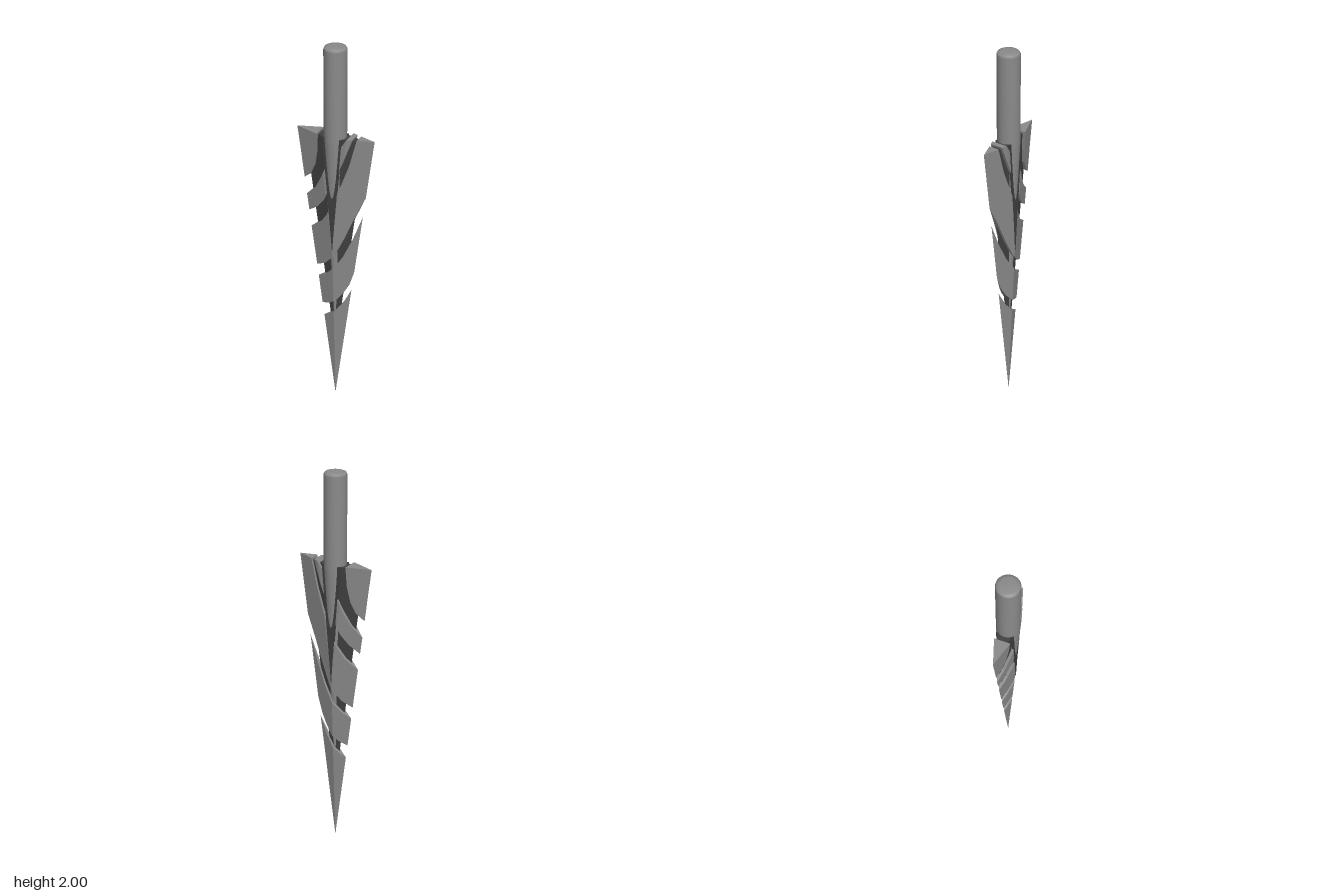
import * as THREE from 'three';

const steel = new THREE.MeshStandardMaterial({ color: 0x8a8a8a });
const facetedSteel = steel;
const darkSteel = new THREE.MeshStandardMaterial({ color: 0x404040 });

// Point at t (0..1) on a polyline of [x, y] pairs
function along(points, t) {
  const f = t * (points.length - 1);
  const i = Math.min(Math.floor(f), points.length - 2);
  const k = f - i;
  return [0, 1].map((a) => points[i][a] * (1 - k) + points[i + 1][a] * k);
}

// Solid between two edges in the xy plane, thinning to a sharp edge at half width w(y)
function bladeSolid(lower, upper, w, slope, cap, nt = 48, ns = 12) {
  const rings = [];
  for (let i = 0; i <= nt; i++) {
    const a = along(lower, i / nt), b = along(upper, i / nt);
    const front = [], back = [];
    for (let j = 0; j <= ns; j++) {
      const s = j / ns;
      const x = a[0] * (1 - s) + b[0] * s, y = a[1] * (1 - s) + b[1] * s;
      const z = Math.max(0.0005, Math.min(cap, slope * (w(y) - Math.abs(x))));
      front.push([x, y, z]);
      back.unshift([x, y, -z]);
    }
    rings.push([...front, ...back]);
  }
  const pos = [];
  const tri = (...p) => p.forEach((v) => pos.push(...v));
  const m = rings[0].length;
  for (let i = 0; i < nt; i++) {
    for (let k = 0; k < m; k++) {
      const n = (k + 1) % m, r = rings[i], q = rings[i + 1];
      tri(r[k], q[k], q[n]);
      tri(r[k], q[n], r[n]);
    }
  }
  // End caps
  const first = rings[0], last = rings[nt];
  for (let k = 1; k < m - 1; k++) {
    tri(first[0], first[k], first[k + 1]);
    tri(last[0], last[k + 1], last[k]);
  }
  const g = new THREE.BufferGeometry();
  g.setAttribute('position', new THREE.Float32BufferAttribute(pos, 3));
  g.computeVertexNormals();
  return g;
}

export function createModel() {
  const model = new THREE.Group();
  const add = (name, geometry, material) => {
    const mesh = new THREE.Mesh(geometry, material);
    mesh.name = name;
    model.add(mesh);
  };

  // Round shaft with a long tapered end sunk into the blade
  const profile = [[0, 0.34], [0.055, 1.53], [0.055, 1.53], [0.055, 1.985], [0.05, 1.995], [0.035, 2], [0, 2]];
  add('shaft', new THREE.LatheGeometry(profile.map((p) => new THREE.Vector2(...p)), 40), steel);

  // Sweeping blade segments: [name, lower edge, upper edge]
  const segments = [
    ['bladeTip',
      [[-0.0636, 0.497], [-0.032, 0.25], [0, 0], [0.045, 0.35], [0.089, 0.695]],
      [[-0.0636, 0.497], [-0.035, 0.515], [0, 0.545], [0.045, 0.605], [0.089, 0.695]]],
    ['lowerBlade',
      [[-0.073, 0.57], [-0.03, 0.59], [0.01, 0.62], [0.045, 0.665], [0.075, 0.72], [0.103, 0.805]],
      [[-0.094, 0.735], [-0.045, 0.765], [0, 0.815], [0.05, 0.895], [0.1, 1.01], [0.146, 1.14]]],
    ['middleBlade',
      [[-0.102, 0.8], [-0.05, 0.83], [0.01, 0.9], [0.053, 0.995], [0.106, 1.127], [0.16, 1.25], [0.2, 1.56]],
      [[-0.131, 1.02], [-0.07, 1.07], [-0.03, 1.13], [0.01, 1.22], [0.05, 1.32], [0.085, 1.42], [0.12, 1.56]]],
    ['upperBlade',
      [[-0.142, 1.11], [-0.09, 1.15], [-0.05, 1.2], [-0.01, 1.29], [0.05, 1.42], [0.1, 1.56]],
      [[-0.154, 1.2], [-0.1, 1.255], [-0.06, 1.33], [-0.03, 1.4], [0.03, 1.49], [0.075, 1.56]]],
    ['topBlade',
      [[-0.165, 1.29], [-0.125, 1.325], [-0.1, 1.38], [-0.085, 1.46], [-0.08, 1.56]],
      [[-0.165, 1.29], [-0.174, 1.358], [-0.182, 1.425], [-0.191, 1.492], [-0.2, 1.56]]],
  ];
  for (const [name, lower, upper] of segments) {
    add(name, bladeSolid(lower, upper, (y) => 0.128 * y, 0.32, 0.04), facetedSteel);
  }

  // Narrow dark core showing between the segments
  const coreWidth = (y) => 0.13 * (y - 0.32);
  add('bladeCore', bladeSolid([[0.001, 0.33], [coreWidth(1.55), 1.55]], [[-0.001, 0.33], [-coreWidth(1.55), 1.55]],
    coreWidth, 0.3, 0.034, 24, 24), darkSteel);

  // Dark wedge around the tapered end of the shaft
  const wedge = new THREE.Shape([[0, 0.93], [0.05, 1.552], [-0.05, 1.552]].map((p) => new THREE.Vector2(...p)));
  const wedgeGeometry = new THREE.ExtrudeGeometry(wedge, { depth: 0.082, bevelEnabled: false });
  wedgeGeometry.translate(0, 0, -0.041);
  add('shaftRecess', wedgeGeometry, darkSteel);

  return model;
}
